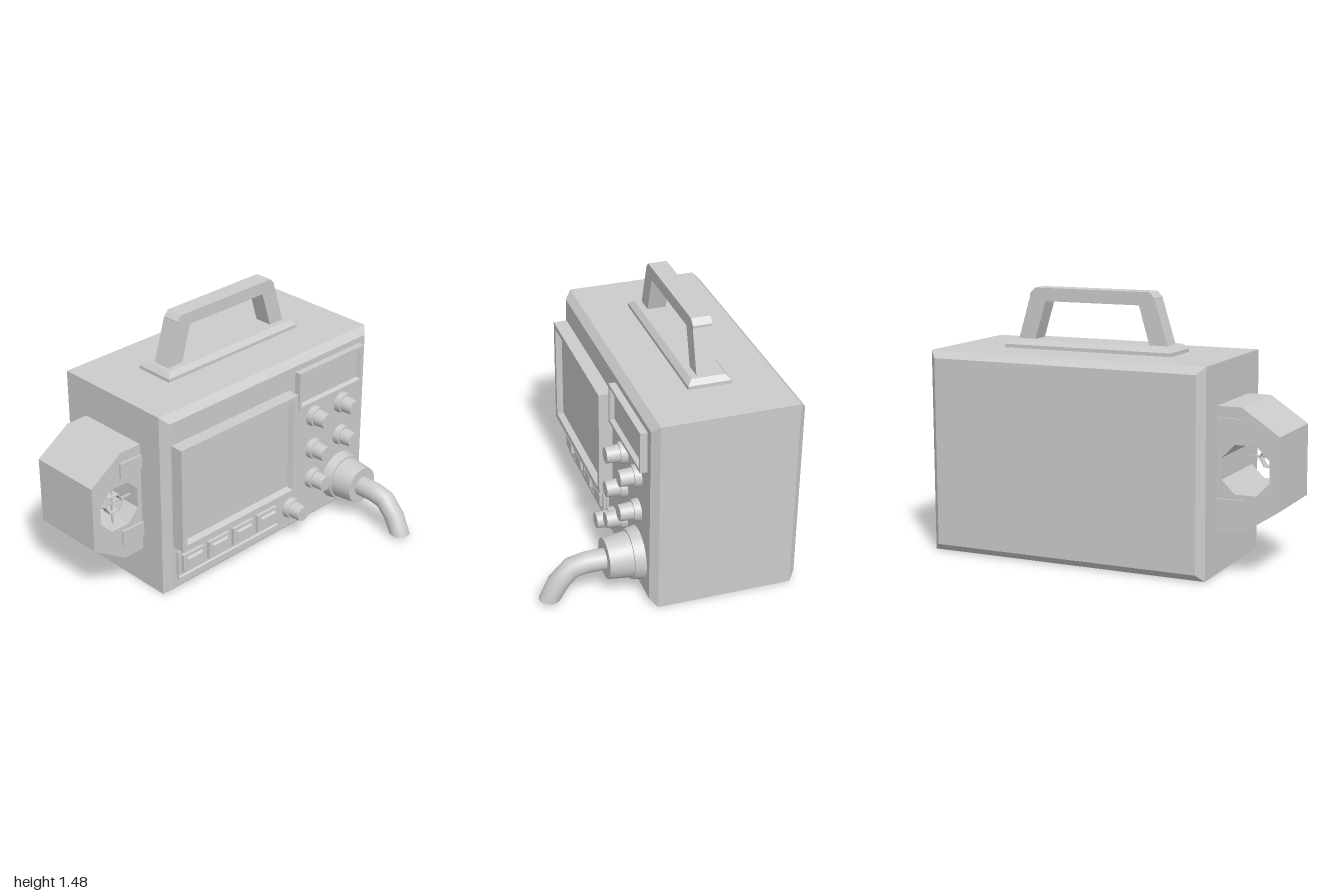
import * as THREE from 'three';

const grey = new THREE.MeshStandardMaterial({ color: 0xcccccc });
const flat = new THREE.MeshStandardMaterial({ color: 0xcccccc, flatShading: true });

function add(parent, name, geometry, material = flat) {
  const mesh = new THREE.Mesh(geometry, material);
  mesh.name = name;
  parent.add(mesh);
  return mesh;
}

// Stacked rectangles along z; each step is [inset, z]. Both ends are capped.
function rectLoft(x0, x1, y0, y1, steps) {
  const rings = steps.map(([i, z]) => [
    [x0 + i, y0 + i, z], [x1 - i, y0 + i, z], [x1 - i, y1 - i, z], [x0 + i, y1 - i, z]]);
  const pos = [];
  const quad = (a, b, c, d) => pos.push(...a, ...b, ...c, ...a, ...c, ...d);
  for (let r = 0; r < rings.length - 1; r++) {
    const a = rings[r], b = rings[r + 1];
    for (let i = 0; i < 4; i++) {
      const j = (i + 1) % 4;
      quad(a[i], a[j], b[j], b[i]);
    }
  }
  const s = rings[0], e = rings[rings.length - 1];
  quad(s[3], s[2], s[1], s[0]);
  quad(e[0], e[1], e[2], e[3]);
  const g = new THREE.BufferGeometry();
  g.setAttribute('position', new THREE.Float32BufferAttribute(pos, 3));
  g.computeVertexNormals();
  return g;
}

// Outline in the xy plane pushed from z0 to z1, with optional holes
function slab(points, z0, z1, holes = []) {
  const toV = (p) => p.map(([x, y]) => new THREE.Vector2(x, y));
  const shape = new THREE.Shape(toV(points));
  holes.forEach((h) => shape.holes.push(new THREE.Path(toV(h))));
  return new THREE.ExtrudeGeometry(shape, { depth: z1 - z0, bevelEnabled: false }).translate(0, 0, z0);
}

function box(x0, x1, y0, y1, z0, z1) {
  return new THREE.BoxGeometry(x1 - x0, y1 - y0, z1 - z0)
    .translate((x0 + x1) / 2, (y0 + y1) / 2, (z0 + z1) / 2);
}

// Tapered disc pointing along z
function cone(x, y, z0, z1, r0, r1, sides = 28) {
  return new THREE.CylinderGeometry(r1, r0, z1 - z0, sides)
    .rotateX(Math.PI / 2).translate(x, y, (z0 + z1) / 2);
}

// Cable from rings [y, z, tilt]; the last ring lies level and is closed
function cableGeometry(x, r, rings, sides = 24) {
  const pos = [], index = [];
  rings.forEach(([y, z, tilt]) => {
    for (let i = 0; i < sides; i++) {
      const a = (i / sides) * Math.PI * 2;
      const v = Math.sin(a) * r;
      pos.push(x + Math.cos(a) * r, y + v * Math.cos(tilt), z + v * Math.sin(tilt));
    }
  });
  for (let k = 0; k < rings.length - 1; k++) {
    for (let i = 0; i < sides; i++) {
      const a = k * sides + i, b = k * sides + (i + 1) % sides;
      index.push(a, b, b + sides, a, b + sides, a + sides);
    }
  }
  const g = new THREE.BufferGeometry();
  g.setAttribute('position', new THREE.Float32BufferAttribute(pos, 3));
  g.setIndex(index);
  g.computeVertexNormals();
  return g;
}

export function createModel() {
  const model = new THREE.Group();
  model.name = 'portableMonitor';

  // Case with chamfered front and back edges
  add(model, 'case', rectLoft(-0.65, 1, 0, 1.14,
    [[0.04, -0.71], [0, -0.67], [0, 0.1], [0.04, 0.14]]));

  // Main screen and small display, both framed and recessed
  add(model, 'screen', rectLoft(-0.6, 0.31, 0.315, 0.965,
    [[0, 0.13], [0, 0.22], [0.033, 0.22], [0.046, 0.185]]));
  add(model, 'smallDisplay', rectLoft(0.363, 0.91, 0.825, 1.065,
    [[0, 0.13], [0, 0.18], [0.02, 0.18], [0.03, 0.155]]));

  // Row of four push buttons in a shallow tray
  add(model, 'buttonTray', rectLoft(-0.58, 0.237, 0.09, 0.272,
    [[0, 0.13], [0, 0.155], [0.008, 0.155], [0.014, 0.143]]));
  for (let i = 0; i < 4; i++) {
    const x = -0.465 + i * 0.197;
    add(model, 'button', rectLoft(x - 0.08, x + 0.08, 0.127, 0.24,
      [[0, 0.14], [0, 0.165], [0.018, 0.165], [0.026, 0.18]]));
  }

  // Stepped knobs
  const knobs = [[0.53, 0.72], [0.77, 0.72], [0.53, 0.5], [0.77, 0.5], [0.53, 0.295], [0.34, 0.165]];
  for (const [x, y] of knobs) {
    const knob = new THREE.Group();
    knob.name = 'knob';
    add(knob, 'knobBase', cone(x, y, 0.13, 0.178, 0.066, 0.06), grey);
    add(knob, 'knobCap', cone(x, y, 0.17, 0.253, 0.051, 0.045), grey);
    model.add(knob);
  }

  // Cable socket, plug and drooping cable
  add(model, 'socket', cone(0.77, 0.218, 0.13, 0.2, 0.153, 0.14, 36), grey);
  add(model, 'plug', cone(0.77, 0.218, 0.19, 0.333, 0.13, 0.114, 36), grey);
  const cable = [[0.216, 0.32, 0], [0.215, 0.435, 0.08], [0.198, 0.52, 0.52],
    [0.12, 0.595, 1.07], [0.022, 0.645, Math.PI / 2]];
  add(model, 'cable', cableGeometry(0.77, 0.06, cable), grey);
  add(model, 'cableEnd', new THREE.CircleGeometry(0.06, 24)
    .rotateX(Math.PI / 2).translate(0.77, 0.022, 0.645), grey);

  // Carrying handle on its chamfered foot plate
  add(model, 'handleBase', rectLoft(-0.338, 0.685, 0.16, 0.405,
    [[0, 1.135], [0, 1.16], [0.027, 1.188]]).rotateX(-Math.PI / 2));
  add(model, 'handle', slab([[-0.288, 1.18], [-0.208, 1.44], [-0.208, 1.445], [-0.177, 1.477],
    [0.525, 1.477], [0.557, 1.445], [0.557, 1.43], [0.632, 1.18], [0.528, 1.18],
    [0.46, 1.403], [-0.115, 1.403], [-0.18, 1.18]], -0.335, -0.225));

  // Side pod with an octagonal opening right through it
  const cx = -0.812, cy = 0.581;
  const R = 0.133, h = 0.06;
  const octagon = [[R, h], [h, R], [-h, R], [-R, h], [-R, -h], [-h, -R], [h, -R], [R, -h]]
    .map(([x, y]) => [cx + x, cy + y]);
  add(model, 'sidePod', slab([[-0.64, 0.235], [-0.64, 0.915], [-0.787, 0.915], [-1, 0.773],
    [-1, 0.375], [-0.787, 0.235]], -0.515, -0.06, [octagon]));
  for (const y of [0.375, 0.808]) {
    add(model, 'podClip', box(-0.803, -0.64, y - 0.045, y + 0.045, -0.525, -0.047));
  }

  // Crossbars and six-sided hub inside the opening
  const hexagon = (r) => Array.from({ length: 6 }, (_, i) =>
    [cx + r * Math.cos(i * Math.PI / 3), cy + r * Math.sin(i * Math.PI / 3)]);
  add(model, 'hub', slab(hexagon(0.063), -0.15, -0.1, [hexagon(0.055)]));
  add(model, 'crossbar', box(cx - R, cx + R, cy - 0.005, cy + 0.005, -0.13, -0.12));
  add(model, 'upright', box(cx - 0.005, cx + 0.005, cy - R, cy + R, -0.13, -0.12));

  return model;
}
